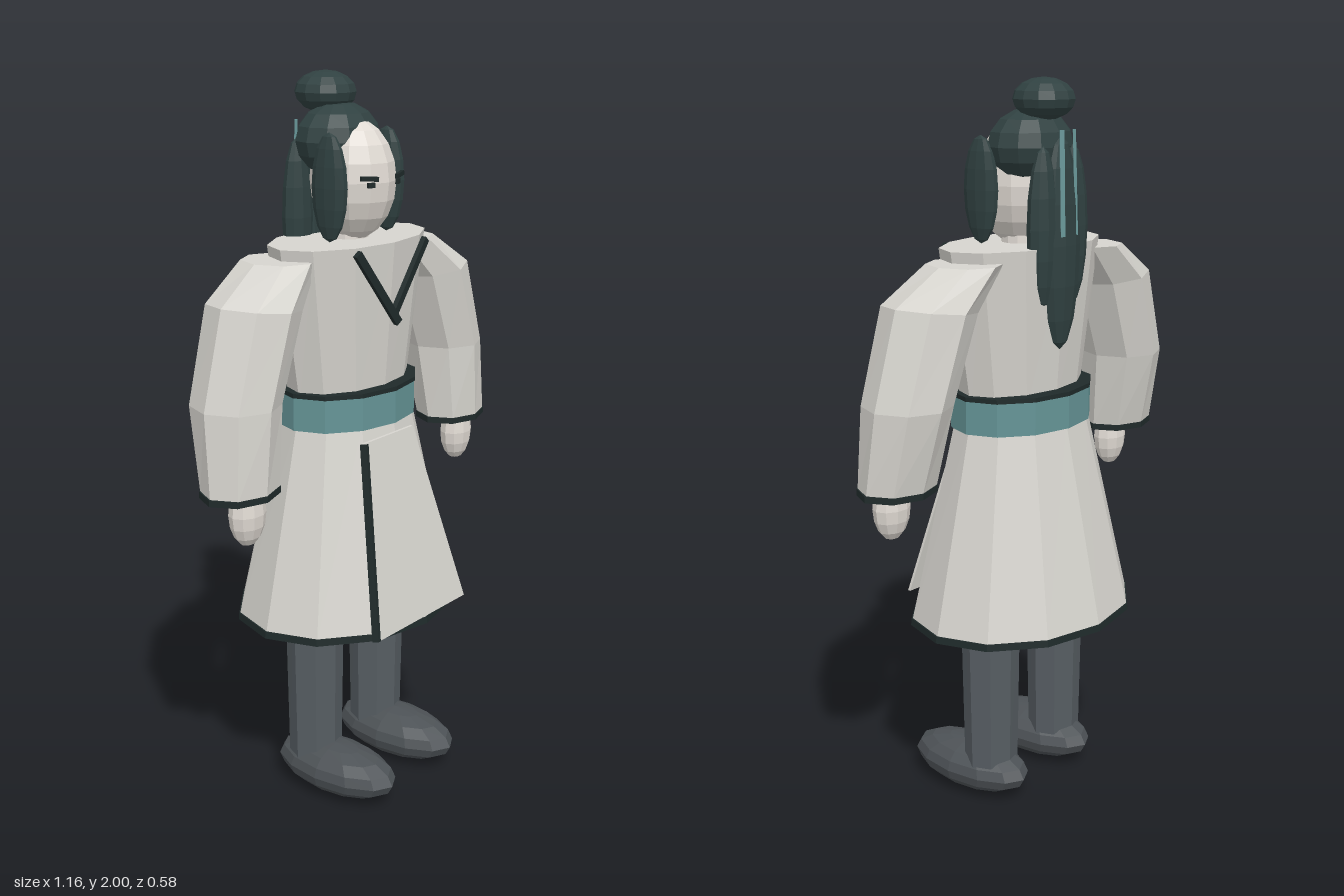
import * as THREE from 'three';

const mat = (name, color) => {
  const m = new THREE.MeshStandardMaterial({ color, flatShading: true });
  m.name = name;
  return m;
};

export function createModel() {
  const robe = mat('robe', 0xd6d4ce);
  const skin = mat('skin', 0xe0dad3);
  const hair = mat('hair', 0x304141);
  const trim = mat('trim', 0x1f2a2a);
  const teal = mat('sash', 0x659496);
  const trousers = mat('trousers', 0x565d62);
  const boots = mat('boots', 0x4d5256);

  const model = new THREE.Group();
  const add = (name, geo, material, x = 0, y = 0, z = 0) => {
    const mesh = new THREE.Mesh(geo, material);
    mesh.name = name;
    mesh.position.set(x, y, z);
    model.add(mesh);
    return mesh;
  };
  // Faceted ellipsoid
  const blob = (name, material, [x, y, z], [rx, ry, rz], w = 12, h = 8) =>
    add(name, new THREE.SphereGeometry(1, w, h).scale(rx, ry, rz), material, x, y, z);
  // Elliptical tapered drum between two heights
  const drum = (name, material, y0, y1, [bx, bz], [tx, tz], x = 0, z = 0, sides = 12) => {
    const geo = new THREE.CylinderGeometry(1, 1, y1 - y0, sides);
    const p = geo.attributes.position;
    for (let i = 0; i < p.count; i++) {
      const top = p.getY(i) > 0;
      p.setX(i, p.getX(i) * (top ? tx : bx));
      p.setZ(i, p.getZ(i) * (top ? tz : bz));
    }
    return add(name, geo, material, x, (y0 + y1) / 2, z);
  };
  // Thin square bar between two points
  const bar = (name, material, a, b, w = 0.022, d = 0.014) => {
    const from = new THREE.Vector3(...a), to = new THREE.Vector3(...b);
    const mesh = add(name, new THREE.BoxGeometry(w, from.distanceTo(to), d), material);
    mesh.position.copy(from).add(to).multiplyScalar(0.5);
    mesh.quaternion.setFromUnitVectors(new THREE.Vector3(0, 1, 0), to.sub(from).normalize());
    return mesh;
  };

  // Robe body
  drum('torso', robe, 1.15, 1.572, [0.205, 0.125], [0.275, 0.155]);
  drum('skirt', robe, 0.54, 1.1, [0.35, 0.28], [0.215, 0.157], 0, -0.003);
  drum('skirtHem', trim, 0.526, 0.545, [0.355, 0.283], [0.353, 0.281], 0, -0.003);
  drum('sash', teal, 1.083, 1.175, [0.227, 0.166], [0.227, 0.166], 0, -0.003);
  drum('sashEdge', trim, 1.173, 1.185, [0.229, 0.168], [0.229, 0.168], 0, -0.003);

  // Overlapping flat front panel of the skirt
  const panel = new THREE.BoxGeometry(1, 1, 0.008);
  const pp = panel.attributes.position;
  for (let i = 0; i < pp.count; i++) {
    const top = pp.getY(i) > 0, right = pp.getX(i) < 0;
    pp.setXYZ(i,
      top ? (right ? -0.15 : 0.07) : (right ? -0.228 : 0.175),
      top ? 1.06 : 0.552,
      pp.getZ(i) + (top ? 0.166 : 0.278));
  }
  add('frontPanel', panel, robe);
  bar('panelTrim', trim, [-0.147, 1.06, 0.172], [-0.23, 0.555, 0.281], 0.018, 0.016);

  // Crossed collar
  bar('collarRight', trim, [-0.152, 1.562, 0.152], [0.006, 1.36, 0.164]);
  bar('collarLeft', trim, [0.145, 1.562, 0.148], [-0.012, 1.375, 0.158]);

  // Sleeve rings from shoulder to wrist: centre x, y, z, radius x, z, tilt
  const rings = [
    [0.25, 1.543, -0.025, 0.095, 0.105, 0],
    [0.365, 1.44, -0.01, 0.12, 0.125, 0.015],
    [0.445, 1.205, -0.005, 0.115, 0.12, 0],
    [0.463, 0.987, 0.02, 0.11, 0.092, 0],
  ];
  for (const s of [-1, 1]) {
    const sleeve = new THREE.CylinderGeometry(1, 1, 1, 8, 3);
    const p = sleeve.attributes.position;
    for (let i = 0; i < p.count; i++) {
      const [cx, cy, cz, rx, rz, tilt] = rings[Math.round((0.5 - p.getY(i)) * 3)];
      const ux = p.getX(i);
      p.setXYZ(i, s * cx + ux * rx, cy + s * ux * tilt, cz + p.getZ(i) * rz);
    }
    add('sleeve', sleeve, robe);
    drum('cuff', trim, 0.974, 0.991, [0.115, 0.094], [0.114, 0.094], s * 0.463, 0.02, 8);
    blob('hand', skin, [s * 0.463, 0.93, 0.043], [0.055, 0.088, 0.043], 10, 8);

    // Legs and boots
    drum('leg', trousers, 0.08, 0.6, [0.08, 0.07], [0.09, 0.077], s * 0.14, -0.008, 8);
    blob('boot', boots, [s * 0.14, 0.072, 0.07], [0.1, 0.07, 0.2], 12, 8);

    // Face details and side hair
    const brow = add('brow', new THREE.BoxGeometry(0.052, 0.012, 0.009), trim, s * 0.064, 1.739, 0.121);
    brow.rotation.set(0, s * 0.35, s * 0.08);
    add('eye', new THREE.BoxGeometry(0.02, 0.013, 0.009), trim, s * 0.056, 1.722, 0.121).rotation.y = s * 0.35;
    blob('sideLock', hair, [s * 0.12, 1.715, 0.035], [0.023, 0.14, 0.057], 10, 8);
    blob('backStrand', hair, [s * 0.06, 1.62, -0.125], [0.05, 0.21, 0.035], 10, 8);
    bar('ribbon', teal, [s * 0.025, 1.87, -0.158], [s * 0.028, 1.6, -0.166], 0.012, 0.008);
  }

  // Head and hair
  drum('neck', skin, 1.55, 1.64, [0.055, 0.055], [0.05, 0.05]);
  blob('head', skin, [0, 1.725, 0.015], [0.107, 0.16, 0.12], 12, 10);
  blob('hairCap', hair, [0, 1.825, -0.033], [0.13, 0.098, 0.105], 12, 8);
  blob('bun', hair, [0, 1.945, -0.077], [0.083, 0.055, 0.083], 12, 8);
  blob('ponytail', hair, [0, 1.575, -0.135], [0.068, 0.28, 0.038], 10, 8);

  return model;
}
